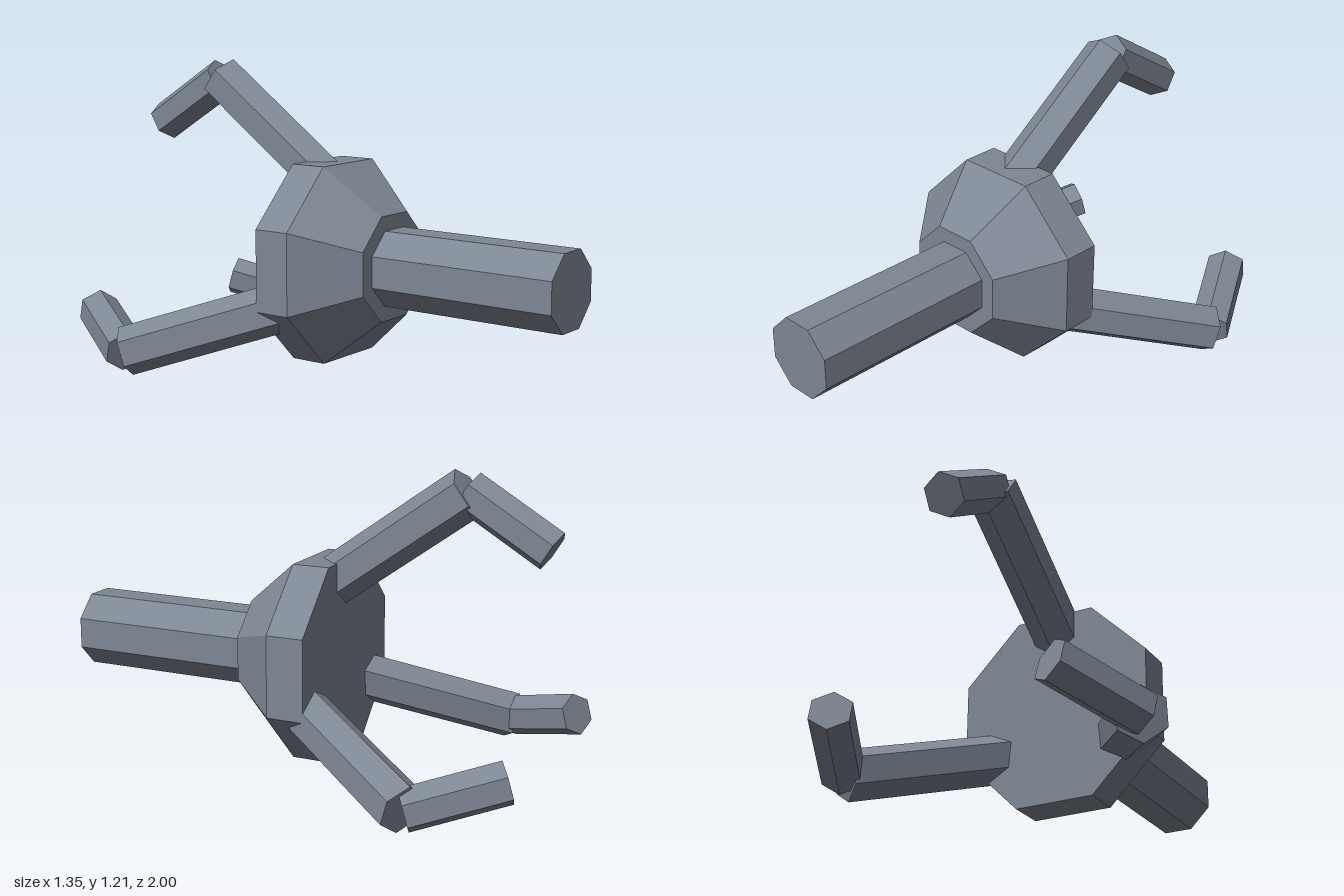
import * as THREE from 'three';

const AXIS_Y = 0.442;

export function createModel() {
  const metal = new THREE.MeshStandardMaterial({ color: 0x7e8794, flatShading: true });
  metal.name = 'blueGreyMetal';

  const model = new THREE.Group();
  model.name = 'threeFingerClaw';

  const add = (parent, name, geometry) => {
    const mesh = new THREE.Mesh(geometry, metal);
    mesh.name = name;
    parent.add(mesh);
    return mesh;
  };

  // Octagonal hub: straight rear band, then a taper to the front; y of the profile becomes z
  const profile = [[0, -0.14], [0.419, -0.14], [0.419, 0.01], [0.222, 0.23], [0, 0.23]]
    .map(([r, z]) => new THREE.Vector2(r, z));
  const hubGeometry = new THREE.LatheGeometry(profile, 8, Math.PI / 8).rotateX(Math.PI / 2);
  add(model, 'hub', hubGeometry).position.y = AXIS_Y;

  // Octagonal shaft reaching forward from the hub
  const shaftGeometry = new THREE.CylinderGeometry(0.159, 0.159, 0.78, 8, 1, false, Math.PI / 8)
    .rotateX(Math.PI / 2);
  add(model, 'shaft', shaftGeometry).position.set(0, AXIS_Y, 0.61);

  // Hexagonal bar between two [radial, z] points, with one edge facing outward
  const addBar = (parent, name, radius, [y0, z0], [y1, z1]) => {
    const length = Math.hypot(y1 - y0, z1 - z0);
    const bar = add(parent, name, new THREE.CylinderGeometry(radius, radius, length, 6));
    bar.position.set(0, (y0 + y1) / 2, (z0 + z1) / 2);
    bar.rotation.x = Math.atan2(z1 - z0, y1 - y0);
  };

  // Three fingers evenly spaced around the hub
  ['topFinger', 'rightFinger', 'leftFinger'].forEach((name, i) => {
    const finger = new THREE.Group();
    finger.name = name;
    finger.position.y = AXIS_Y;
    finger.rotation.z = (i * Math.PI * 2) / 3;
    addBar(finger, 'fingerArm', 0.098, [0.272, -0.05], [0.689, -0.633]);
    addBar(finger, 'fingerTip', 0.083, [0.691, -0.633], [0.494, -0.957]);
    model.add(finger);
  });

  return model;
}
